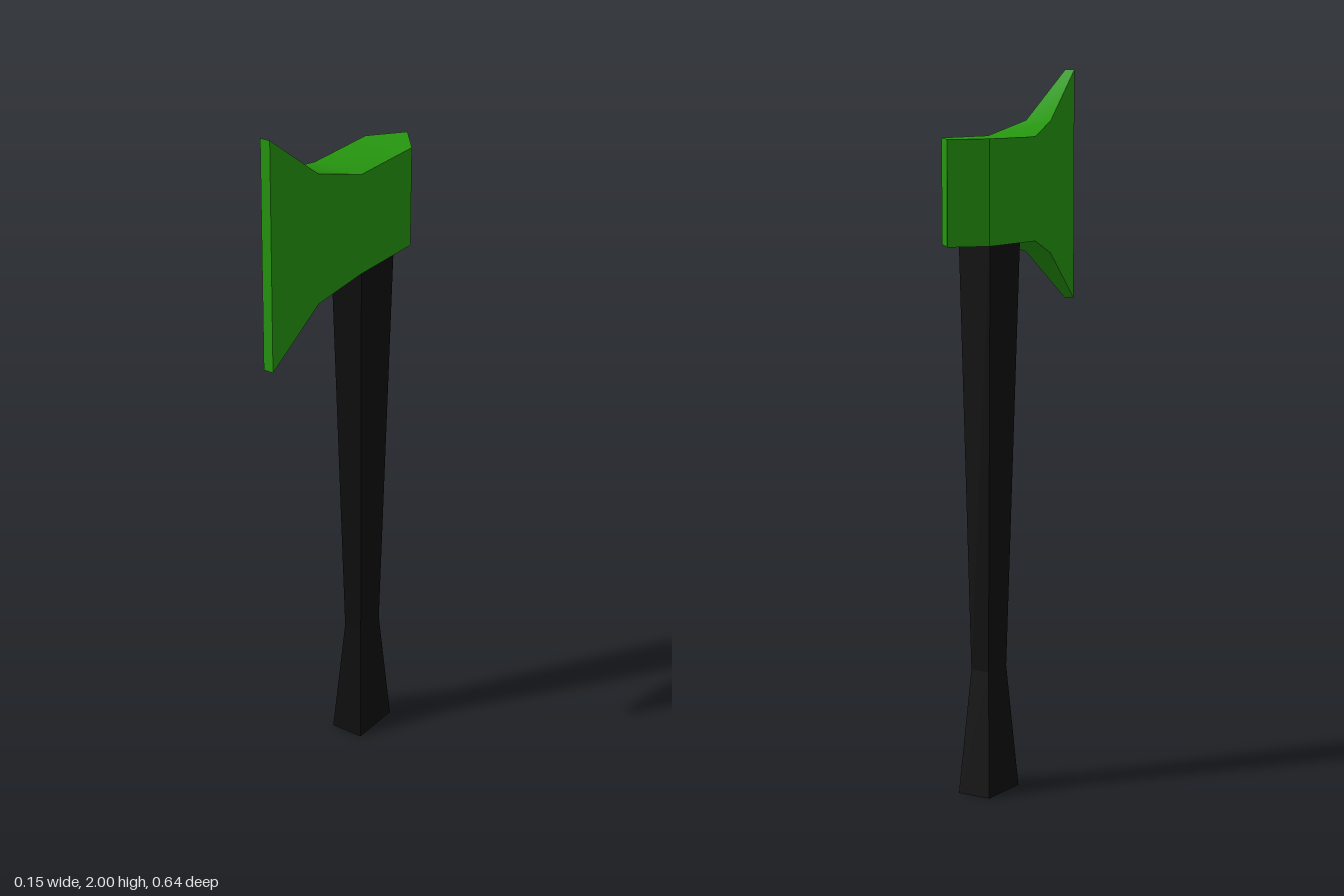
import * as THREE from 'three';
import { toCreasedNormals } from 'three/addons/utils/BufferGeometryUtils.js';

// Skin four-cornered cross-sections and cap both ends.
// Corners run counter-clockwise seen from the end the sections advance towards.
function loft(rings, crease) {
  const index = [];
  for (let r = 0; r < rings.length - 1; r++) {
    for (let i = 0; i < 4; i++) {
      const a = r * 4 + i, b = r * 4 + (i + 1) % 4;
      index.push(a, b, b + 4, a, b + 4, a + 4);
    }
  }
  const e = (rings.length - 1) * 4;
  index.push(0, 2, 1, 0, 3, 2, e, e + 1, e + 2, e, e + 2, e + 3);
  const geometry = new THREE.BufferGeometry();
  geometry.setAttribute('position', new THREE.Float32BufferAttribute(rings.flat(2), 3));
  geometry.setIndex(index);
  return toCreasedNormals(geometry, crease);
}

function addPart(group, name, geometry, color) {
  const mesh = new THREE.Mesh(geometry, new THREE.MeshStandardMaterial({ color }));
  mesh.name = name;
  group.add(mesh);
}

export function createModel() {
  const group = new THREE.Group();
  group.name = 'axe';

  // Handle sections, bottom to top: y, half width, back z, front z
  const handle = [
    [0, 0.05, -0.195, -0.04],
    [0.35, 0.028, -0.163, -0.07],
    [1.6, 0.051, -0.188, -0.031],
  ].map(([y, w, z0, z1]) => [[-w, y, z1], [w, y, z1], [w, y, z0], [-w, y, z0]]);
  addPart(group, 'handle', loft(handle, 0.1), 0x0e0e0e);

  // Head sections, pointed back to cutting edge: z, half width, bottom y, top y
  const head = [
    [-0.32, 0.0005, 1.535, 1.82],
    [-0.23, 0.076, 1.535, 1.82],
    [0.005, 0.076, 1.535, 1.82],
    [0.147, 0.04, 1.492, 1.86],
    [0.32, 0.015, 1.35, 2],
  ].map(([z, w, y0, y1]) => [[-w, y0, z], [w, y0, z], [w, y1, z], [-w, y1, z]]);
  addPart(group, 'axeHead', loft(head, 0.5), 0x26960f);

  return group;
}
